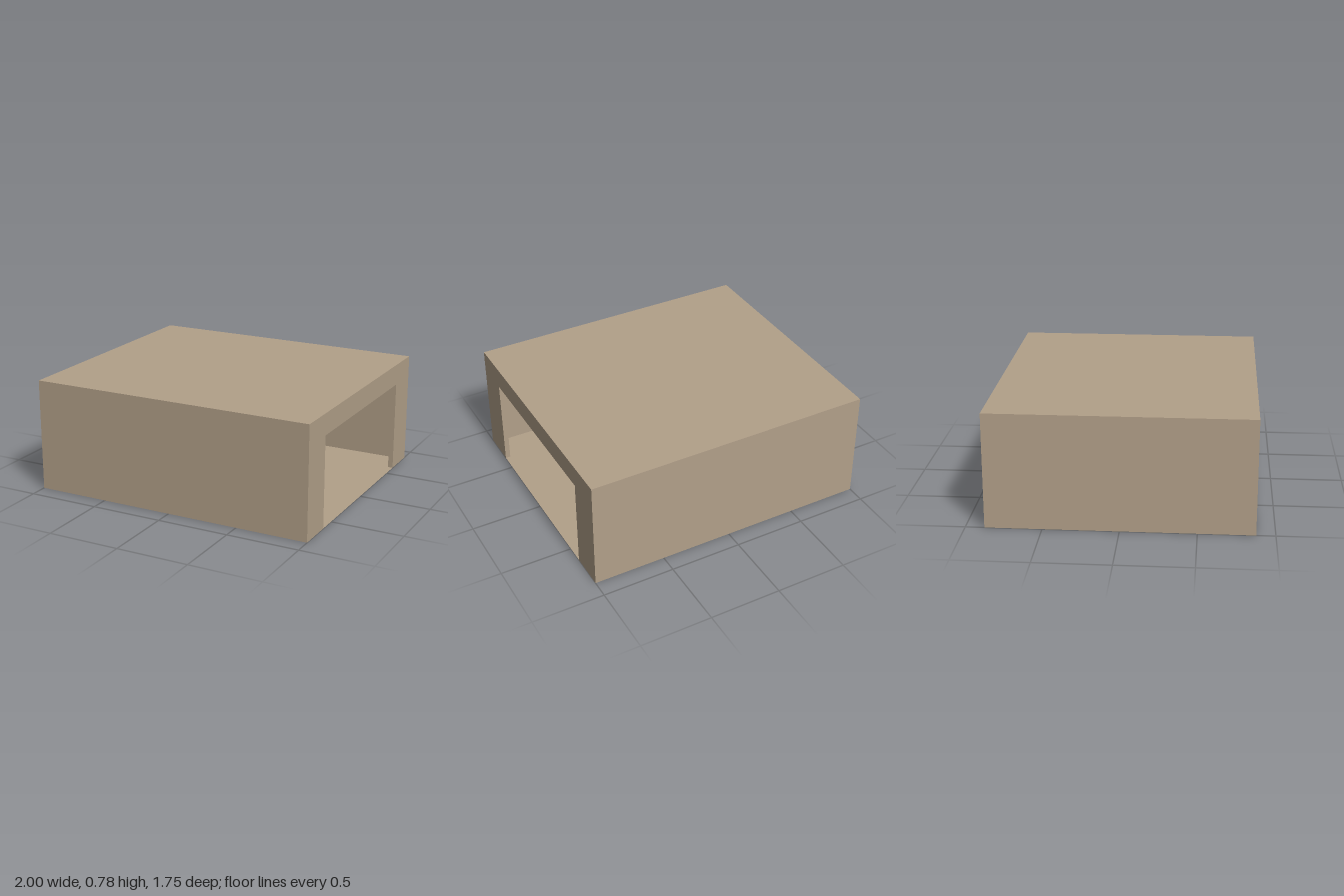
import * as THREE from 'three';

const W = 1, D = 0.875, H = 0.777;      // outer half width, half depth, height
const T = 0.035;                        // wall thickness
const DOOR_W = 0.625, DOOR_H = 0.63;    // door half width and height

export function createModel() {
  const model = new THREE.Group();
  const tan = new THREE.MeshStandardMaterial({ color: 0xb2a089, side: THREE.DoubleSide });
  tan.name = 'tan';

  // Flat panel from a 2D outline, turned and moved into place
  function panel(parent, name, outline, rotation, position) {
    const shape = new THREE.Shape(outline.map(([x, y]) => new THREE.Vector2(x, y)));
    const mesh = new THREE.Mesh(new THREE.ShapeGeometry(shape), tan);
    mesh.name = name;
    mesh.rotation.set(...rotation);
    mesh.position.set(...position);
    parent.add(mesh);
  }
  const rect = (w, y0, y1) => [[-w, y0], [w, y0], [w, y1], [-w, y1]];
  const doorWall = (w, h) => [
    [-w, 0], [-DOOR_W, 0], [-DOOR_W, DOOR_H], [DOOR_W, DOOR_H],
    [DOOR_W, 0], [w, 0], [w, h], [-w, h],
  ];
  const Q = Math.PI / 2;

  // Outer and inner skins; the wall cavity stays open underneath
  for (const [name, inset] of [['outer', 0], ['inner', T]]) {
    const w = W - inset, d = D - inset, h = H - inset;
    const skin = new THREE.Group();
    skin.name = name + 'Shell';
    panel(skin, name + 'FrontWall', rect(w, 0, h), [0, 0, 0], [0, 0, d]);
    panel(skin, name + 'BackWall', rect(w, 0, h), [0, Math.PI, 0], [0, 0, -d]);
    panel(skin, name + 'RightWall', rect(d, 0, h), [0, -Q, 0], [-w, 0, 0]);
    panel(skin, name + 'DoorWall', doorWall(d, h), [0, Q, 0], [w, 0, 0]);
    panel(skin, name + 'Roof', rect(w, -d, d), [-Q, 0, 0], [0, h, 0]);
    model.add(skin);
  }

  // Floor, reaching out through the doorway as a threshold
  const x = W - T, z = D - T;
  panel(model, 'floor', [
    [-x, -z], [x, -z], [x, -DOOR_W], [W, -DOOR_W],
    [W, DOOR_W], [x, DOOR_W], [x, z], [-x, z],
  ], [-Q, 0, 0], [0, 0, 0]);

  // Door reveal: two jambs and a lintel
  const reveal = new THREE.Group();
  reveal.name = 'doorReveal';
  for (const side of [-1, 1]) {
    panel(reveal, side > 0 ? 'frontJamb' : 'backJamb', rect(T / 2, 0, DOOR_H),
      [0, side > 0 ? Math.PI : 0, 0], [W - T / 2, 0, side * DOOR_W]);
  }
  panel(reveal, 'lintel', rect(T / 2, -DOOR_W, DOOR_W), [Q, 0, 0], [W - T / 2, DOOR_H, 0]);
  model.add(reveal);

  return model;
}
